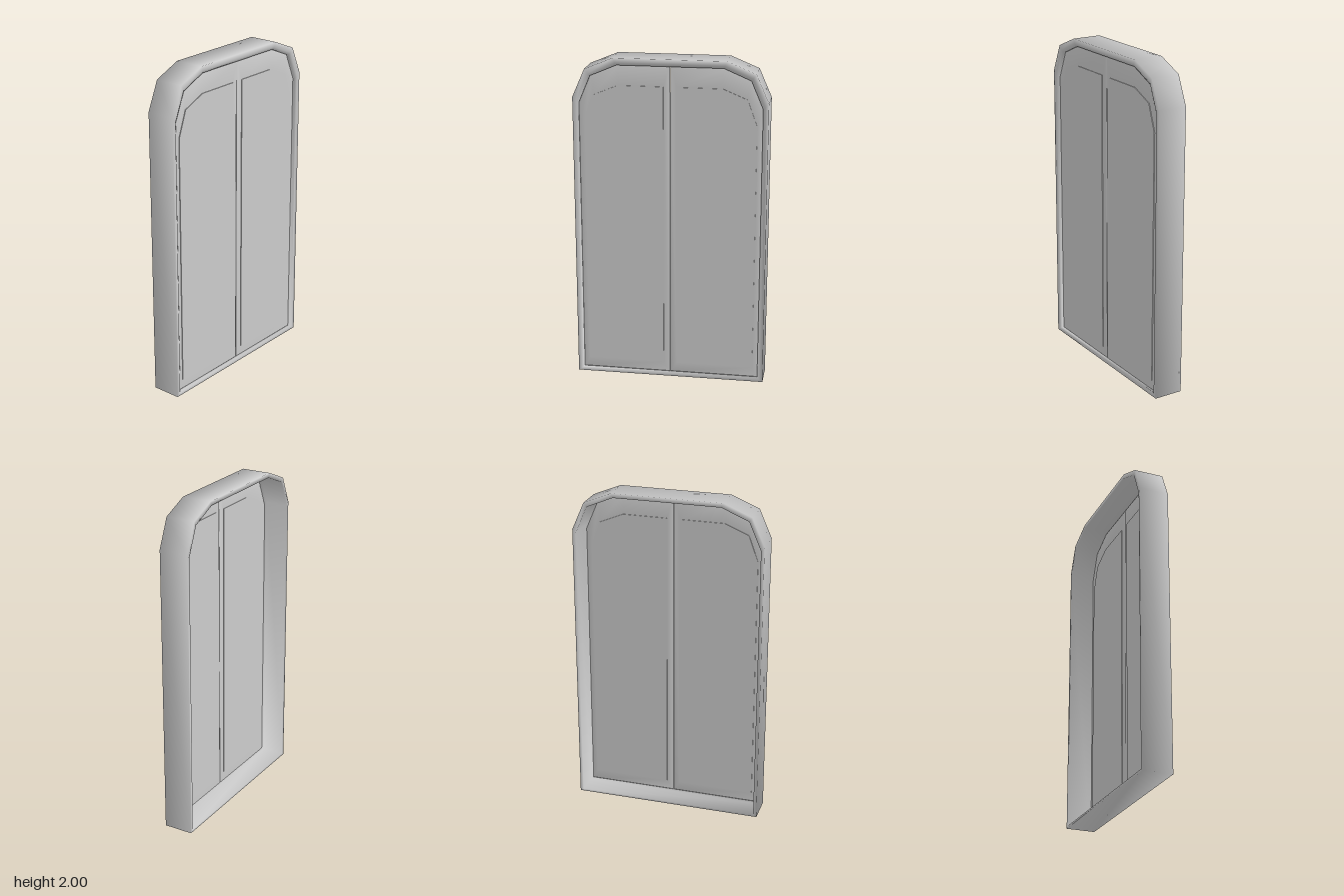
import * as THREE from 'three';
import { toCreasedNormals } from 'three/addons/utils/BufferGeometryUtils.js';

const material = new THREE.MeshStandardMaterial({ color: 0xcccccc });

// Joins rings of [x, y, z] points, each ring counter-clockwise seen from the front
function loft(rings, closed, crease) {
  const pos = [];
  const n = rings[0].length;
  const tri = (a, b, c) => pos.push(...a, ...b, ...c);
  const last = closed ? rings.length : rings.length - 1;
  for (let r = 0; r < last; r++) {
    const A = rings[r], B = rings[(r + 1) % rings.length];
    for (let j = 0; j < n; j++) {
      const k = (j + 1) % n;
      tri(A[j], A[k], B[k]);
      tri(A[j], B[k], B[j]);
    }
  }
  if (!closed) {
    const back = rings[0], front = rings[rings.length - 1];
    for (let j = 1; j < n - 1; j++) {
      tri(back[0], back[j + 1], back[j]);
      tri(front[0], front[j], front[j + 1]);
    }
  }
  const geo = new THREE.BufferGeometry();
  geo.setAttribute('position', new THREE.Float32BufferAttribute(pos, 3));
  return toCreasedNormals(geo, crease);
}

function part(name, geo) {
  const mesh = new THREE.Mesh(geo, material);
  mesh.name = name;
  return mesh;
}

const at = (pts, z) => pts.map(([x, y]) => [x, y, z]);
const mirrored = (pts) => pts.map(([x, ...rest]) => [-x, ...rest]).reverse();

// Half of the faceted arch, shrunk from the outer edge (t = 0) to the door opening (t = 1)
const halfArch = (t) => [[0.58, 0], [0.58, 1.76], [0.505, 1.93], [0.335, 2]]
  .map(([x, y]) => [x * (1 - 0.06 * t), y * (1 - 0.033 * t) + 0.022 * t]);
const arch = (t) => [...halfArch(t), ...mirrored(halfArch(t))];

// One leaf outline, starting at x on the meeting edge
const leaf = (t, x) => {
  const half = halfArch(t);
  return [[x, half[0][1]], ...half, [x, half[3][1]]];
};
const panel = [[0.04, 0.085], [0.512, 0.085], [0.512, 1.62], [0.455, 1.775], [0.31, 1.835], [0.04, 1.835]];

export function createModel() {
  const group = new THREE.Group();

  // Deep, softly shaded surround with a bevelled front lip
  const profile = [
    [0, -0.09], [0, 0.09], [0.65, 0.09], [1, 0.08],
    [1, 0.055], [0.6, 0.05], [0.6, -0.09],
  ];
  group.add(part('frame', loft(profile.map(([t, z]) => at(arch(t), z)), true, Math.PI)));

  // Two leaves meeting in a V groove, with a faintly raised panel on both faces
  const rings = [
    at(panel, 0.049), at(panel, 0.053), at(leaf(1.2, 0.008), 0.053),
    at(leaf(0.98, 0.001), 0.058), at(leaf(0.98, 0.001), 0.066),
    at(leaf(1.2, 0.008), 0.071), at(panel, 0.071), at(panel, 0.075),
  ];
  group.add(part('leftDoor', loft(rings, false, 0.8)));
  group.add(part('rightDoor', loft(rings.map(mirrored), false, 0.8)));

  return group;
}
